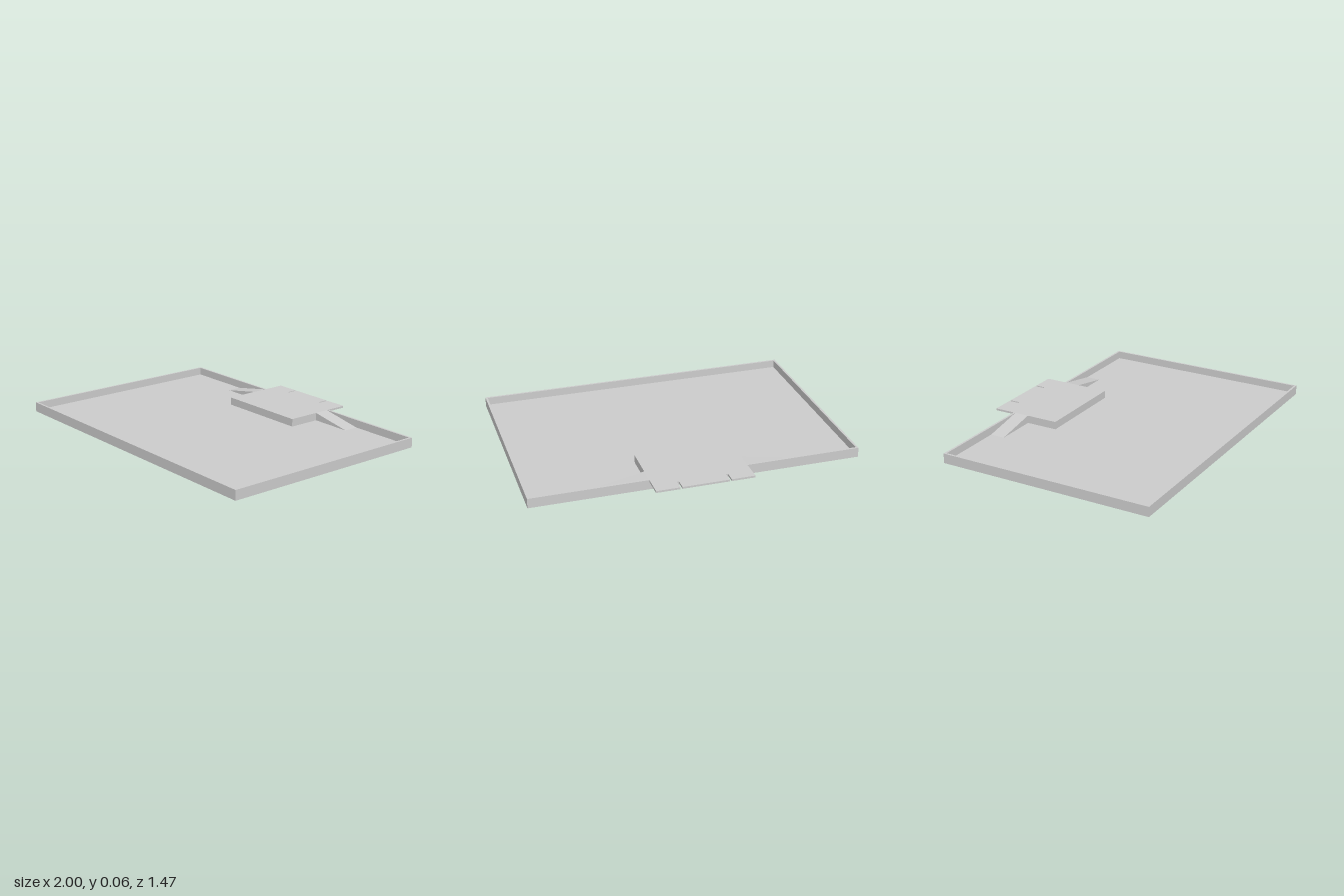
import * as THREE from 'three';

const material = new THREE.MeshStandardMaterial({ color: 0xcccccc, flatShading: true });

const W = 1, BACK = -0.605, FRONT = 0.735, H = 0.06; // tray extents
const WALL = 0.013, FLOOR = 0.012;
const PAD = 0.296, PAD_FRONT = -0.3, TONGUE_BACK = -0.735, TONGUE_Y = 0.048;
const RAMP_END = 0.556, RAMP_FRONT = -0.5;

function shapeOf(points) {
  return new THREE.Shape(points.map(([x, y]) => new THREE.Vector2(x, y)));
}

function rectangle(x0, x1, z0, z1) {
  return [[x0, -z0], [x0, -z1], [x1, -z1], [x1, -z0]];
}

// Extrudes a plan outline (x, -z) upward from y0 to y1
function slab(name, shape, y0, y1) {
  const geometry = new THREE.ExtrudeGeometry(shape, { depth: y1 - y0, bevelEnabled: false });
  geometry.rotateX(-Math.PI / 2).translate(0, y0, 0);
  const mesh = new THREE.Mesh(geometry, material);
  mesh.name = name;
  return mesh;
}

export function createModel() {
  const model = new THREE.Group();
  model.name = 'tray';

  // Floor plate and thin rim
  model.add(slab('floor', shapeOf(rectangle(-W, W, BACK, FRONT)), 0, FLOOR));
  const rim = shapeOf(rectangle(-W, W, BACK, FRONT));
  rim.holes.push(shapeOf(rectangle(-W + WALL, W - WALL, BACK + WALL, FRONT - WALL)));
  model.add(slab('rim', rim, FLOOR, H));

  // Raised block inside the tray
  model.add(slab('block', shapeOf(rectangle(-PAD, PAD, BACK, PAD_FRONT)), FLOOR, TONGUE_Y));

  // Top plate overhanging the back, with two narrow slots
  const s = 0.147, w = 0.006, z0 = -TONGUE_BACK, z1 = 0.67;
  const plate = shapeOf([
    [-PAD, -PAD_FRONT], [PAD, -PAD_FRONT], [PAD, z0],
    [s + w, z0], [s + w, z1], [s - w, z1], [s - w, z0],
    [-s + w, z0], [-s + w, z1], [-s - w, z1], [-s - w, z0],
    [-PAD, z0],
  ]);
  model.add(slab('overhangingPlate', plate, TONGUE_Y, H));

  // Wedge ramps falling from the block to the floor on each side
  for (const side of [1, -1]) {
    const profile = shapeOf([[side * PAD, FLOOR], [side * RAMP_END, FLOOR], [side * PAD, H]]);
    const depth = RAMP_FRONT - (BACK + WALL);
    const geometry = new THREE.ExtrudeGeometry(profile, { depth, bevelEnabled: false });
    const ramp = new THREE.Mesh(geometry, material);
    ramp.position.z = BACK + WALL;
    ramp.name = side > 0 ? 'leftRamp' : 'rightRamp';
    model.add(ramp);
  }

  return model;
}
